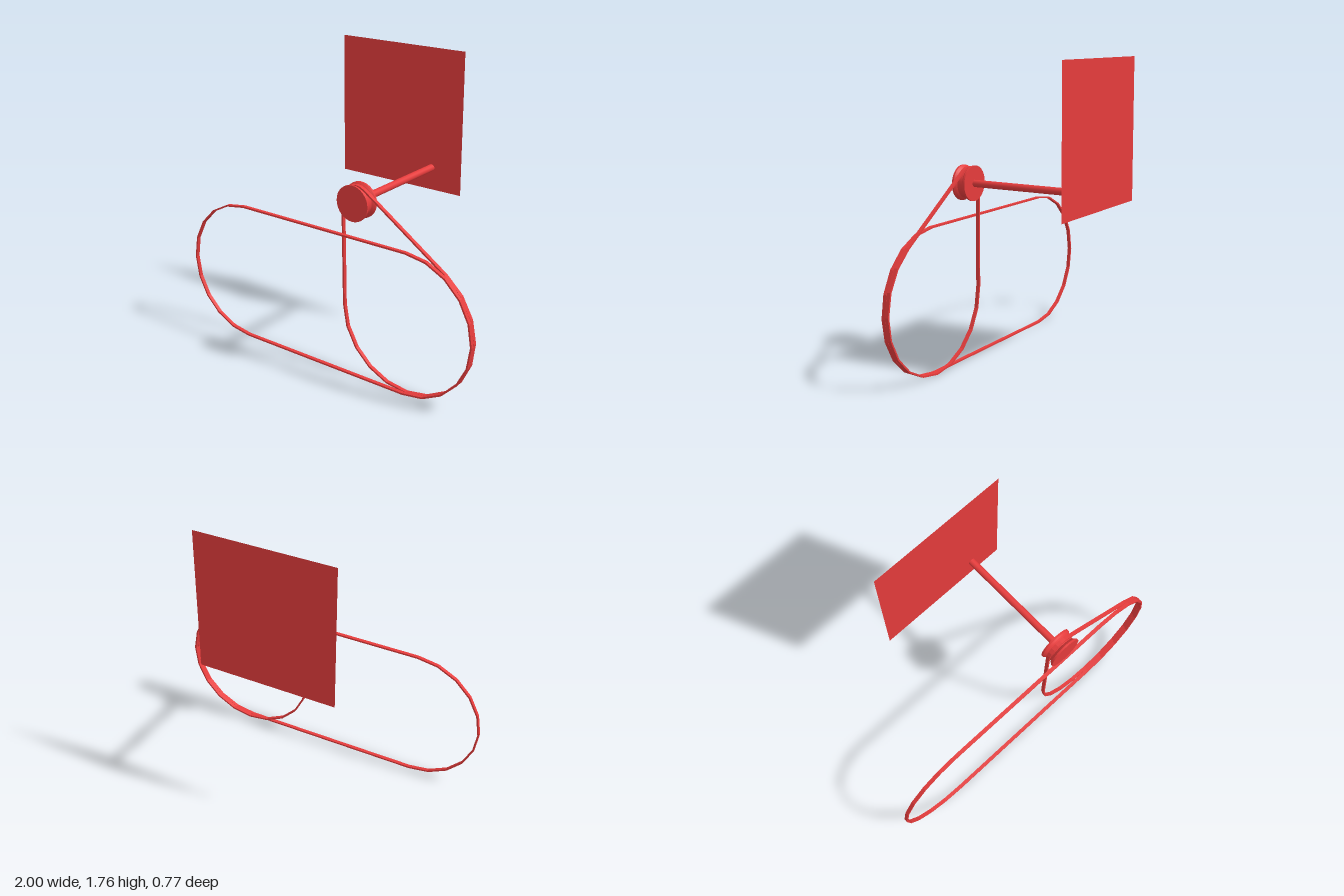
import * as THREE from 'three';

const THICK = 0.01;
const PULLEY = new THREE.Vector2(0.24, 1.05);

// Outline of a taut band around two circles, counter-clockwise
function bandOutline(c1, r1, c2, r2, inset) {
  const d = c2.clone().sub(c1);
  const axis = Math.atan2(d.y, d.x);
  const spread = Math.acos((r1 - r2) / d.length());
  const points = [];
  const arc = (c, r, from, to) => {
    const n = Math.round((to - from) / (Math.PI / 10));
    for (let i = 0; i <= n; i++) {
      const a = from + (to - from) * i / n;
      points.push(new THREE.Vector2(c.x + (r - inset) * Math.cos(a), c.y + (r - inset) * Math.sin(a)));
    }
  };
  arc(c2, r2, axis - spread, axis + spread);
  arc(c1, r1, axis + spread, axis - spread + 2 * Math.PI);
  return points;
}

// Flat belt: the band outline with its inset as a hole, extruded along z
function belt(c1, r1, c2, r2, z, width) {
  const shape = new THREE.Shape(bandOutline(c1, r1, c2, r2, 0));
  shape.holes.push(new THREE.Path(bandOutline(c1, r1, c2, r2, THICK)));
  const geometry = new THREE.ExtrudeGeometry(shape, { depth: width, bevelEnabled: false });
  return geometry.translate(0, 0, z);
}

export function createModel() {
  const group = new THREE.Group();
  const red = new THREE.MeshStandardMaterial({ color: 0xe63c3c });
  const redSheet = new THREE.MeshStandardMaterial({ color: 0xe63c3c, side: THREE.DoubleSide });
  const add = (name, geometry, material = red) => {
    const mesh = new THREE.Mesh(geometry, material);
    mesh.name = name;
    group.add(mesh);
    return mesh;
  };

  // Long belt, and the drive belt beside it that climbs to the pulley
  const left = new THREE.Vector2(-0.575, 0.425);
  const right = new THREE.Vector2(0.575, 0.425);
  add('longBelt', belt(right, 0.425, left, 0.425, 0.353, 0.022));
  add('driveBelt', belt(right, 0.425, PULLEY, 0.097, 0.331, 0.022));

  // Grooved pulley: half profile from the back face to the front face
  const profile = [
    [0, 0.300], [0.103, 0.300], [0.103, 0.311], [0.095, 0.320], [0.087, 0.327],
    [0.087, 0.359], [0.095, 0.366], [0.103, 0.375], [0.103, 0.386], [0, 0.386],
  ].map(([r, z]) => new THREE.Vector2(r, z));
  // Each profile step is its own band, so edges stay sharp
  const pulley = new THREE.Group();
  pulley.name = 'pulley';
  for (let i = 0; i < profile.length - 1; i++) {
    const ring = new THREE.Mesh(new THREE.LatheGeometry([profile[i], profile[i + 1]], 32), red);
    ring.name = 'pulleyBand';
    pulley.add(ring);
  }
  pulley.rotation.x = Math.PI / 2;
  pulley.position.set(PULLEY.x, PULLEY.y, 0);
  group.add(pulley);

  // Shaft from the pulley back to the wall plate
  const shaft = add('shaft', new THREE.CylinderGeometry(0.021, 0.021, 0.69, 20));
  shaft.rotation.x = Math.PI / 2;
  shaft.position.set(PULLEY.x, PULLEY.y, -0.043);

  // Thin square wall plate
  const plate = add('wallPlate', new THREE.PlaneGeometry(0.85, 0.85), redSheet);
  plate.position.set(0.018, 1.34, -0.388);

  return group;
}
